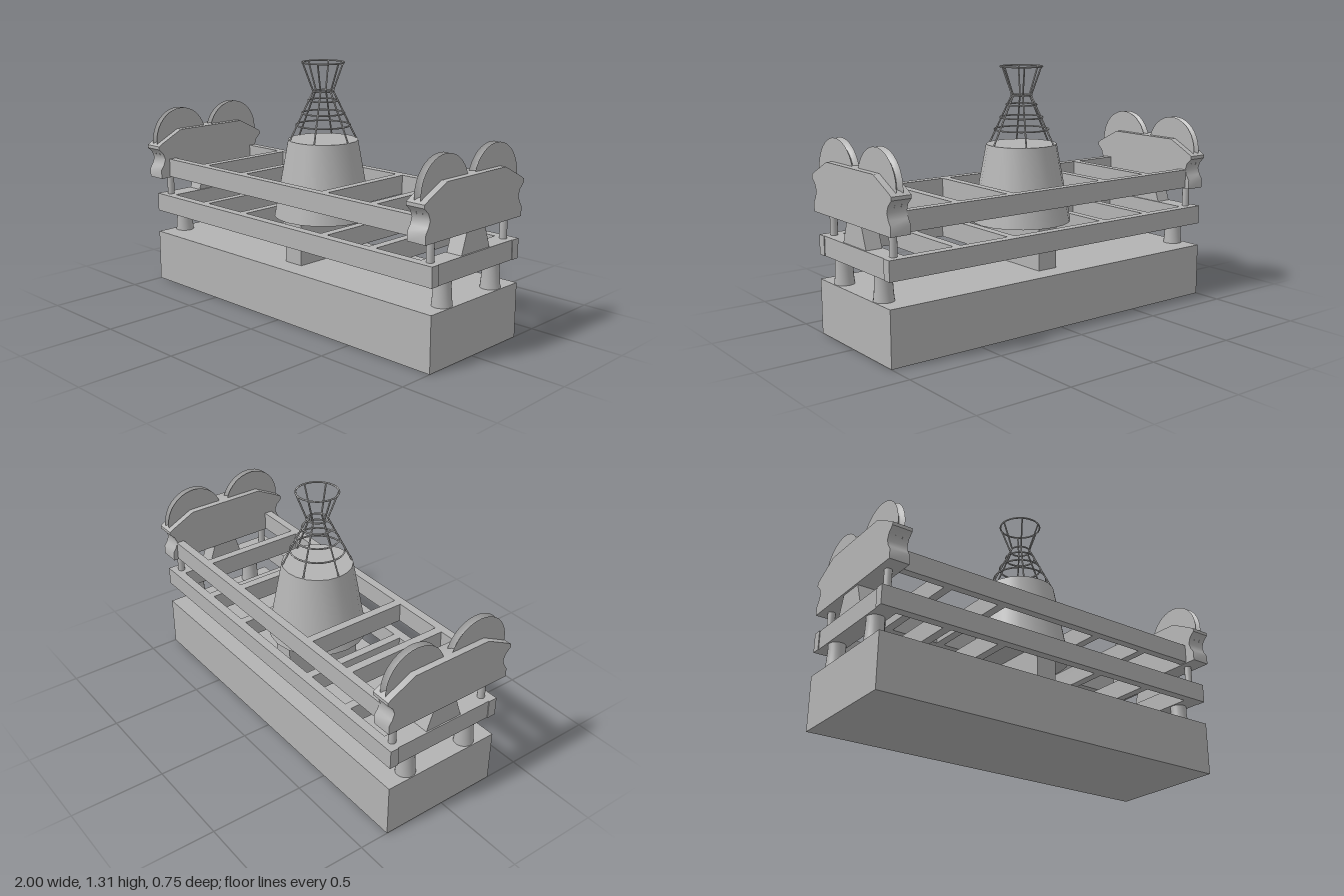
import * as THREE from 'three';
import { toCreasedNormals } from 'three/addons/utils/BufferGeometryUtils.js';

export function createModel() {
  const model = new THREE.Group();
  const grey = new THREE.MeshStandardMaterial({ color: 0xb3b3b3 });
  grey.name = 'plainGrey';
  const CZ = -0.016; // centre line of the deck in z

  const add = (name, geometry, x = 0, y = 0, z = 0, parent = model) => {
    const mesh = new THREE.Mesh(geometry, grey);
    mesh.name = name;
    mesh.position.set(x, y, z);
    parent.add(mesh);
    return mesh;
  };
  // box given by its limits
  const box = (name, x0, x1, y0, y1, z0, z1) =>
    add(name, new THREE.BoxGeometry(x1 - x0, y1 - y0, z1 - z0), (x0 + x1) / 2, (y0 + y1) / 2, (z0 + z1) / 2);
  const lathe = (points, segments) =>
    toCreasedNormals(new THREE.LatheGeometry(points.map(p => new THREE.Vector2(...p)), segments), 0.6);
  // outline in (z, y), extruded along x and centred on it
  const sideProfile = (points, width) => {
    const shape = new THREE.Shape(points.map(([z, y]) => new THREE.Vector2(-z, y)));
    return new THREE.ExtrudeGeometry(shape, { depth: width, bevelEnabled: false })
      .translate(0, 0, -width / 2).rotateY(Math.PI / 2);
  };

  // Base and central pedestal
  box('base', -1, 1, 0, 0.28, CZ - 0.33, CZ + 0.33);
  box('pedestal', -0.055, 0.06, 0.28, 0.5, CZ - 0.22, CZ + 0.22);

  // Lower and upper frames: two long rails joined by cross bars
  const bars = [-0.625, -0.315, 0.285, 0.605];
  const frame = (name, half, y0, y1, outer, inner) => {
    for (const s of [-1, 1]) {
      const a = CZ + s * inner, b = CZ + s * outer;
      box(name + 'Rail', -half, half, y0, y1, Math.min(a, b), Math.max(a, b));
    }
    for (const x of bars) box(name + 'CrossBar', x - 0.022, x + 0.022, y0, y1, CZ - inner, CZ + inner);
  };
  frame('lowerFrame', 1, 0.405, 0.505, 0.33, 0.282);
  frame('upperFrame', 0.9, 0.617, 0.717, 0.32, 0.276);

  // Tapered drum in the middle
  add('drum', lathe([[0, 0.503], [0.257, 0.503], [0.183, 0.905], [0, 0.905]], 20), 0, 0, CZ);

  // Wire cage on the drum
  const cage = new THREE.Group();
  cage.name = 'wireCage';
  cage.position.z = CZ;
  model.add(cage);
  const wire = 0.0045;
  const levels = [[0.108, 1.302], [0.053, 1.155], [0.078, 1.107], [0.11, 1.042], [0.14, 0.98]];
  for (const [r, y] of levels) {
    add('cageRing', new THREE.TorusGeometry(r, wire, 6, 28).rotateX(Math.PI / 2), 0, y, 0, cage);
  }
  const strut = (a, b) => {
    const path = new THREE.LineCurve3(a, b);
    add('cageStrut', new THREE.TubeGeometry(path, 1, wire, 6), 0, 0, 0, cage);
  };
  for (let i = 0; i < 6; i++) {
    const t = i * Math.PI / 3;
    const at = (r, y) => new THREE.Vector3(r * Math.cos(t), y, r * Math.sin(t));
    strut(at(0.178, 0.903), at(0.053, 1.155));
    strut(at(0.053, 1.155), at(0.108, 1.302));
  }

  // Notched outline of the wheel blocks, mirrored front to back
  const half = [[0.362, 0.612], [0.362, 0.66], [0.345, 0.685], [0.333, 0.717], [0.345, 0.75],
    [0.374, 0.778], [0.374, 0.795], [0.345, 0.812], [0.22, 0.875]];
  const outline = [...half, ...half.map(([z, y]) => [-z, y]).reverse()];
  const blockGeo = toCreasedNormals(sideProfile(outline, 0.104), 0.8);
  const wedgeGeo = sideProfile([[0.09, 0.503], [0.052, 0.615], [-0.085, 0.615], [-0.125, 0.503]], 0.085);
  const footGeo = lathe([[0, 0.28], [0.05, 0.28], [0.046, 0.32], [0.043, 0.37], [0.043, 0.407], [0, 0.407]], 24);
  const postGeo = new THREE.CylinderGeometry(0.019, 0.019, 0.12, 16);
  // grooved wheel, axis along x
  const wheelGeo = lathe([[0, -0.018], [0.172, -0.018], [0.155, -0.009], [0.147, 0],
    [0.155, 0.009], [0.172, 0.018], [0, 0.018]], 40).rotateZ(Math.PI / 2);

  // Both ends
  for (const s of [-1, 1]) {
    const x = s * 0.946;
    box('lowerFrameEnd', x - 0.05, x + 0.05, 0.405, 0.505, CZ - 0.282, CZ + 0.282);
    add('wheelBlock', blockGeo, x);
    add('blockSupport', wedgeGeo, x);
    for (const f of [-1, 1]) {
      add('wheel', wheelGeo, x, 0.82, f * 0.19);
      add('post', postGeo, x, 0.56, CZ + f * 0.278);
      add('foot', footGeo, x, 0, CZ + f * 0.186);
    }
  }
  return model;
}
